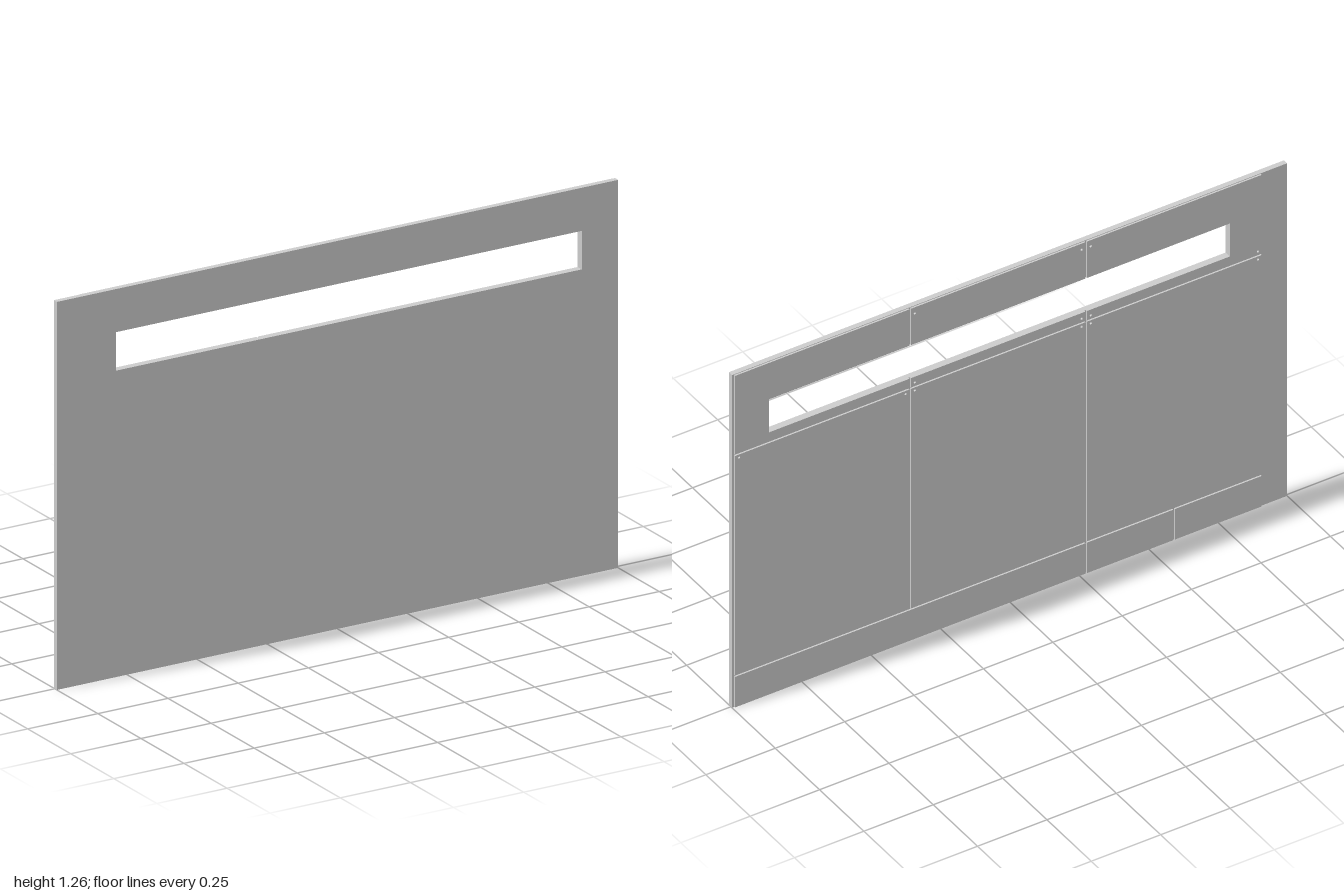
import * as THREE from 'three';

const FRONT = 0.012, MID = -0.006, BACK = -0.012;
const SLOT = { x0: -0.79, x1: 0.87, y0: 0.995, y1: 1.12 };

export function createModel() {
  const group = new THREE.Group();
  const material = new THREE.MeshStandardMaterial({ color: 0xcccccc });

  // Flat sheet from an outline, with optional rectangular slot and round screw holes
  function sheet(name, points, zBack, zFront, slot, screws = []) {
    const shape = new THREE.Shape(points.map(([x, y]) => new THREE.Vector2(x, y)));
    if (slot) {
      shape.holes.push(new THREE.Path([
        [slot.x0, slot.y0], [slot.x0, slot.y1], [slot.x1, slot.y1], [slot.x1, slot.y0],
      ].map(([x, y]) => new THREE.Vector2(x, y))));
    }
    for (const [x, y] of screws) {
      const hole = new THREE.Path();
      hole.absarc(x, y, 0.004, 0, Math.PI * 2, true);
      shape.holes.push(hole);
    }
    const geometry = new THREE.ExtrudeGeometry(shape, {
      depth: zFront - zBack, bevelEnabled: false, curveSegments: 6,
    });
    geometry.translate(0, 0, zBack);
    const mesh = new THREE.Mesh(geometry, material);
    mesh.name = name;
    group.add(mesh);
  }
  const rect = (x0, y0, x1, y1) => [[x0, y0], [x1, y0], [x1, y1], [x0, y1]];

  // Front board with the long window slot
  sheet('frontBoard', rect(-1, 0, 1, 1.26), MID, FRONT, SLOT);

  // Back cladding: three columns separated by narrow seams
  const seams = [-0.907, -0.272, 0.362, 0.995];
  const gap = 0.0025, low = 0.12, high = 0.957, top = 1.258;
  const columns = [0, 1, 2].map(i => [seams[i] + gap, seams[i + 1] - gap]);
  const inset = 0.014;

  // Large middle panels, screwed at the upper corners
  columns.forEach(([a, b], i) => {
    sheet('backPanel' + (i + 1), rect(a, low + gap, b, high - gap), BACK, MID, null,
      [[a + inset, high - inset], [b - inset, high - inset]]);
  });

  // Upper panels: brackets around the slot ends, two strips in the middle
  const bottom = high + gap;
  const endBracket = (outer, inner, slotEnd) => [
    [outer, bottom], [inner, bottom], [inner, SLOT.y0], [slotEnd, SLOT.y0],
    [slotEnd, SLOT.y1], [inner, SLOT.y1], [inner, top], [outer, top],
  ];
  const [right, middle, left] = columns;
  const y = bottom + inset;
  sheet('upperPanelRight', endBracket(right[0], right[1], SLOT.x0), BACK, MID, null,
    [[right[0] + inset, y], [right[1] - inset, y], [right[1] - inset, 1.235]]);
  sheet('upperPanelLeft', endBracket(left[1], left[0], SLOT.x1), BACK, MID, null,
    [[left[0] + inset, y], [left[1] - inset, y], [left[0] + inset, 1.235]]);
  sheet('upperStrip', rect(middle[0], SLOT.y1, middle[1], top), BACK, MID, null,
    [[middle[0] + inset, 1.235], [middle[1] - inset, 1.235]]);
  sheet('sillStrip', rect(middle[0], bottom, middle[1], SLOT.y0), BACK, MID, null,
    [[middle[0] + inset, y], [middle[1] - inset, y]]);

  // Bottom row: two short kick plates and one long one
  const kicks = [seams[0], (seams[0] + seams[1]) / 2, seams[1], seams[3]];
  for (let i = 0; i < 3; i++) {
    sheet('kickPlate' + (i + 1),
      rect(kicks[i] + gap, 0.002, kicks[i + 1] - gap, low - gap), BACK, MID);
  }
  return group;
}
